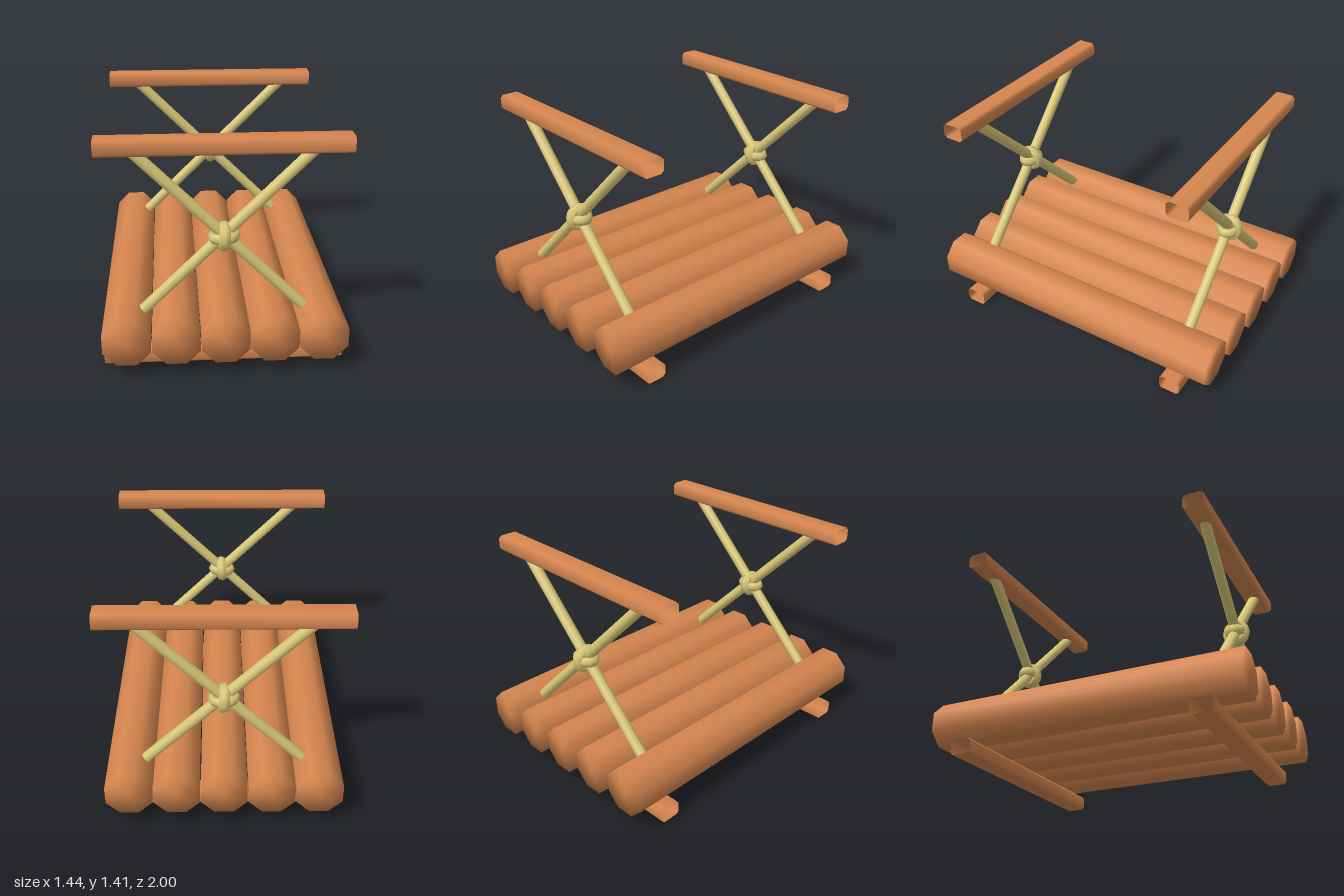
import * as THREE from 'three';
import { mergeVertices } from 'three/addons/utils/BufferGeometryUtils.js';

const wood = new THREE.MeshStandardMaterial({ color: 0xd6864f, side: THREE.DoubleSide });
wood.name = 'wood';
const rope = new THREE.MeshStandardMaterial({ color: 0xd9c878 });
rope.name = 'rope';

// Share normals across all edges, caps included
function soften(geometry) {
  geometry.deleteAttribute('uv');
  geometry.deleteAttribute('normal');
  const merged = mergeVertices(geometry, 1e-4);
  merged.computeVertexNormals();
  return merged;
}

// Eight-sided log along z with flat top
function logGeometry() {
  const r = 0.14 / Math.cos(Math.PI / 8);
  const g = new THREE.CylinderGeometry(r, r, 2, 8);
  g.rotateY(Math.PI / 8);
  g.rotateX(Math.PI / 2);
  return soften(g);
}

// Open-ended rail along x: a rectangle with trimmed corners
function railGeometry() {
  const g = new THREE.CylinderGeometry(1, 1, 1.44, 8, 1, true);
  g.rotateY(Math.PI / 8);
  const p = g.attributes.position;
  const trim = (v, half) => Math.sign(v) * (Math.abs(v) > 0.5 ? half : half - 0.018);
  for (let i = 0; i < p.count; i++) {
    p.setX(i, trim(p.getX(i), 0.048));
    p.setZ(i, trim(p.getZ(i), 0.069));
  }
  g.rotateZ(Math.PI / 2);
  return soften(g);
}

function add(parent, name, geometry, material, x, y, z) {
  const mesh = new THREE.Mesh(geometry, material);
  mesh.name = name;
  mesh.position.set(x, y, z);
  parent.add(mesh);
  return mesh;
}

export function createModel() {
  const model = new THREE.Group();
  model.name = 'logBridge';

  // Deck of five logs
  const log = logGeometry();
  for (let i = -2; i <= 2; i++) add(model, 'deckLog', log, wood, i * 0.288, 0.245, 0);

  // Each end: two rails, crossed ropes and a knot
  const rail = railGeometry();
  const strand = new THREE.CylinderGeometry(0.035, 0.035, 1.5, 8);
  const band = new THREE.TorusGeometry(0.066, 0.026, 6, 12);
  for (const turn of [0, Math.PI]) {
    const end = new THREE.Group();
    end.name = turn ? 'backEnd' : 'frontEnd';
    end.rotation.y = turn;
    model.add(end);

    add(end, 'bottomRail', rail, wood, 0, 0.05, 0.768);
    add(end, 'topRail', rail, wood, 0, 1.367, 0.768);

    for (const s of [-1, 1]) {
      add(end, 'crossRope', strand, rope, 0, 0.82, 0.768).rotation.z = s * Math.PI / 4;
    }

    const knot = new THREE.Group();
    knot.name = 'knot';
    knot.position.set(0, 0.81, 0.77);
    end.add(knot);
    // Upright wrap
    const upright = add(knot, 'uprightWrap', band, rope, 0, 0, 0);
    upright.rotation.set(0, Math.PI / 2, -0.08, 'ZYX');
    upright.scale.set(0.97, 1, 1.4);
    // Sideways wrap
    const sideways = add(knot, 'sidewaysWrap', band, rope, 0, 0, 0);
    sideways.rotation.set(Math.PI / 2, 0, 0.07, 'ZYX');
    sideways.scale.set(1.05, 0.8, 1.3);
  }
  return model;
}
